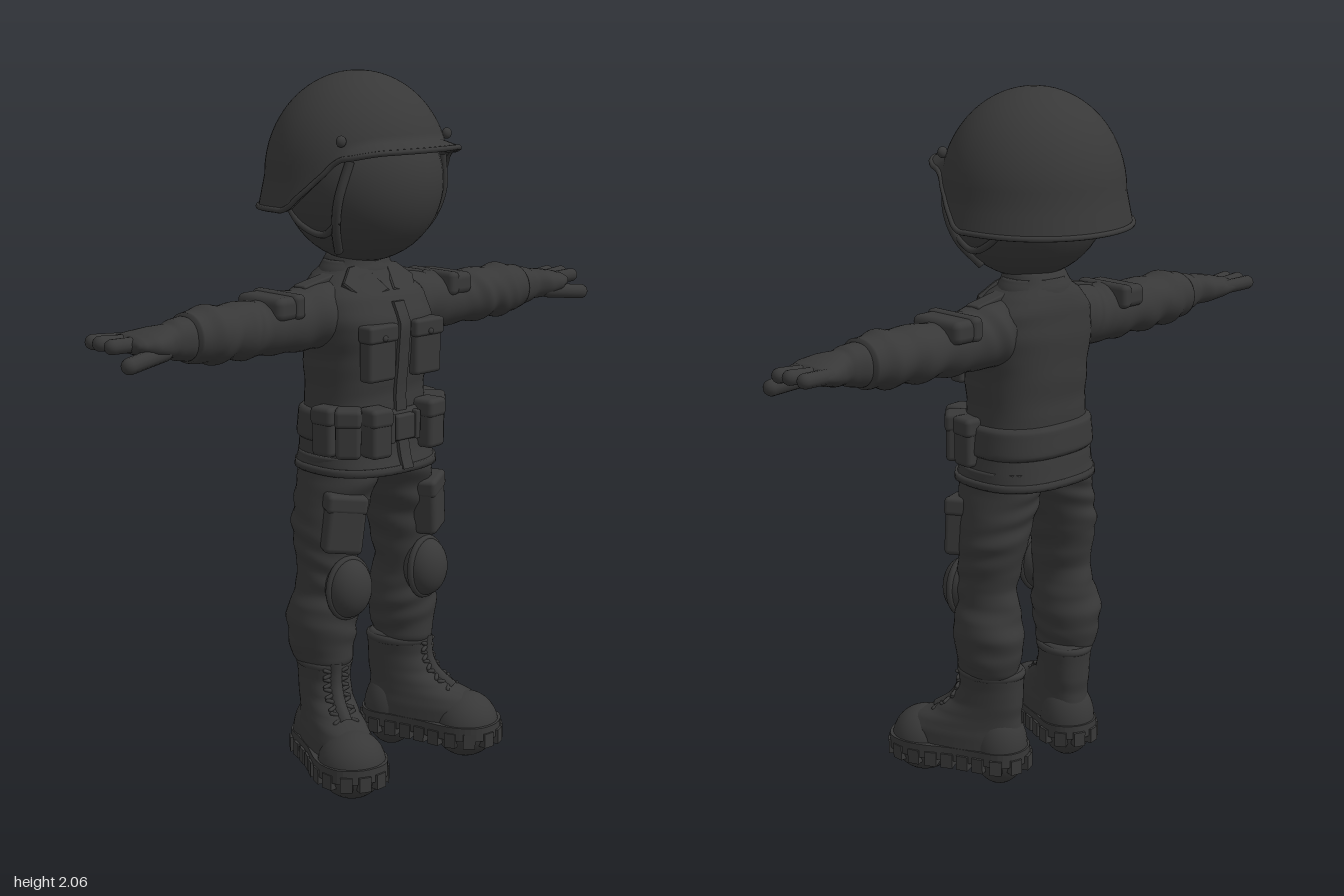
import * as THREE from 'three';
import { RoundedBoxGeometry } from 'three/addons/geometries/RoundedBoxGeometry.js';

const V = (x, y, z) => new THREE.Vector3(x, y, z);

// Smooth interpolation of rows [t, ...values] at t
function sample(rows, t) {
  let i = 0;
  while (i < rows.length - 2 && t > rows[i + 1][0]) i++;
  const a = rows[i], b = rows[i + 1];
  const k = THREE.MathUtils.clamp((t - a[0]) / (b[0] - a[0]), 0, 1);
  const s = k * k * (3 - 2 * k) * 0.5 + k * 0.5;
  return a.slice(1).map((v, j) => v + (b[j + 1] - v) * s);
}

// Closed surface from rings of points, ordered bottom to top
function skin(rings) {
  const n = rings[0].length, pos = [], idx = [];
  rings.forEach(r => r.forEach(p => pos.push(p.x, p.y, p.z)));
  for (let j = 0; j < rings.length - 1; j++) for (let i = 0; i < n; i++) {
    const a = j * n + i, b = j * n + (i + 1) % n;
    idx.push(a, a + n, b, b, a + n, b + n);
  }
  [0, rings.length - 1].forEach((j, top) => {
    const c = V(0, 0, 0);
    rings[j].forEach(p => c.addScaledVector(p, 1 / n));
    const k = pos.length / 3;
    pos.push(c.x, c.y, c.z);
    for (let i = 0; i < n; i++) {
      const a = j * n + i, b = j * n + (i + 1) % n;
      if (top) idx.push(a, k, b); else idx.push(a, b, k);
    }
  });
  const g = new THREE.BufferGeometry();
  g.setAttribute('position', new THREE.Float32BufferAttribute(pos, 3));
  g.setIndex(idx);
  g.computeVertexNormals();
  return g;
}

// Upright loft through rows [y, cx, cz, rx, rz]; power below 1 squares the rings, fold adds cloth creases
function loft(rows, { n = 36, steps = 40, power = 1, fold = 0 } = {}) {
  const y0 = rows[0][0], y1 = rows[rows.length - 1][0], rings = [];
  const sp = v => Math.sign(v) * Math.pow(Math.abs(v), power);
  for (let j = 0; j <= steps; j++) {
    const y = y0 + (y1 - y0) * j / steps, [cx, cz, rx, rz] = sample(rows, y);
    rings.push(Array.from({ length: n }, (_, i) => {
      const a = i / n * Math.PI * 2;
      const f = 1 + fold * Math.sin(y * 75 + 2.5 * Math.sin(a + y * 9)) * (0.6 + 0.4 * Math.cos(2 * a + y * 20));
      return V(cx + rx * f * sp(Math.cos(a)), y, cz + rz * f * sp(Math.sin(a)));
    }));
  }
  return skin(rings);
}

const box = (w, h, d, r = 0.012) => new RoundedBoxGeometry(w, h, d, 2, r);
const ball = (rx, ry, rz) => new THREE.SphereGeometry(1, 28, 18).scale(rx, ry, rz);
const tube = (pts, r, closed = false) =>
  new THREE.TubeGeometry(new THREE.CatmullRomCurve3(pts, closed), pts.length * 5, r, 8, closed);
function place(g, x, y, z, rx = 0, ry = 0, rz = 0) {
  return g.applyMatrix4(new THREE.Matrix4().makeRotationFromEuler(new THREE.Euler(rx, ry, rz, 'YXZ')).setPosition(x, y, z));
}
// Capsule from a to b
function rod(a, b, r) {
  const d = b.clone().sub(a), len = d.length();
  const q = new THREE.Quaternion().setFromUnitVectors(V(0, 1, 0), d.normalize());
  const m = a.clone().add(b).multiplyScalar(0.5);
  return new THREE.CapsuleGeometry(r, len, 5, 12).applyQuaternion(q).translate(m.x, m.y, m.z);
}
function mirrored(src) {
  const g = src.clone().scale(-1, 1, 1);
  const ix = g.index ? Array.from(g.index.array) : Array.from({ length: g.attributes.position.count }, (_, i) => i);
  for (let i = 0; i < ix.length; i += 3) [ix[i], ix[i + 1]] = [ix[i + 1], ix[i]];
  g.setIndex(ix);
  return g;
}

export function createModel() {
  const model = new THREE.Group();
  model.name = 'helmetedFigure';
  const charcoal = new THREE.MeshStandardMaterial({ color: 0x383838 });
  charcoal.name = 'charcoal';
  const add = (name, g) => {
    const m = new THREE.Mesh(g, charcoal);
    m.name = name;
    model.add(m);
  };
  const pair = (name, g) => { add(name + 'Left', g); add(name + 'Right', mirrored(g)); };

  // Head
  add('head', new THREE.SphereGeometry(0.23, 40, 28).translate(0, 1.69, -0.005));

  // Helmet: the rim height depends on the direction (c = 1 is front, -1 is back)
  const rimRows = [[-1, 1.61], [0.04, 1.62], [0.22, 1.66], [0.37, 1.70], [0.63, 1.765], [0.9, 1.785], [1, 1.787]];
  const dirs = Array.from({ length: 64 }, (_, i) => i / 64 * Math.PI * 2);
  const helmetPoint = (a, y, k = 1, out = 0) => {
    const h = (y - 1.71) / 0.29;
    const s = (h > 0 ? Math.sqrt(Math.max(0, 1 - h * h)) : 1 - 0.22 * h) * k;
    return V(Math.cos(a) * (0.272 * s + out), y, -0.03 + Math.sin(a) * (0.255 * s + out));
  };
  const rim = a => sample(rimRows, Math.sin(a))[0];
  const brim = a => 0.045 * THREE.MathUtils.smoothstep(Math.sin(a), 0.5, 0.9);
  const rings = [
    dirs.map(a => helmetPoint(a, rim(a) + 0.07, 0.86)),
    dirs.map(a => helmetPoint(a, rim(a), 0.93)),
    dirs.map(a => helmetPoint(a, rim(a), 1, brim(a))),
    dirs.map(a => helmetPoint(a, rim(a) + 0.012, 1, brim(a))),
  ];
  for (let j = 0; j <= 20; j++) {
    const u = Math.cos(j / 20 * Math.PI / 2);
    rings.push(dirs.map(a => helmetPoint(a, 1.9995 - (1.9995 - rim(a) - 0.028) * (1 - Math.pow(1 - u, 1)) ** 1)));
  }
  // Order the dome rows from rim to crown
  for (let j = 0; j <= 20; j++) {
    const w = 1 - j / 20;
    rings[4 + j] = dirs.map(a => helmetPoint(a, 1.9995 - (1.9995 - rim(a) - 0.028) * w * w));
  }
  add('helmet', skin(rings.map(r => r.slice().map((_, i) => r[i]))));
  add('helmetEdge', tube(dirs.map(a => helmetPoint(a, rim(a) + 0.006, 1, brim(a))), 0.008, true));
  pair('helmetBolt', ball(0.016, 0.016, 0.012).translate(0.205, 1.82, 0.125));

  // Chin straps hugging the head
  const onHead = (x, y, z) => V(x, y - 1.69, z).setLength(0.234).add(V(0, 1.69, 0));
  pair('frontStrap', tube([onHead(0.19, 1.77, 0.14), onHead(0.2, 1.66, 0.11), onHead(0.18, 1.58, 0.08), onHead(0.14, 1.5, 0.04)], 0.013));
  pair('rearStrap', tube([onHead(0.2, 1.64, -0.12), onHead(0.2, 1.58, -0.05), onHead(0.18, 1.56, 0.03), onHead(0.19, 1.6, 0.1)], 0.01));

  // Jacket
  const jacket = [[0.87, 0, 0.005, 0.205, 0.175], [0.93, 0, 0, 0.195, 0.16], [1.02, 0, 0, 0.183, 0.145],
    [1.1, 0, 0, 0.178, 0.143], [1.2, 0, 0.002, 0.182, 0.152], [1.3, 0, 0.004, 0.2, 0.158],
    [1.37, 0, -0.01, 0.19, 0.14], [1.42, 0, -0.03, 0.145, 0.11], [1.45, 0, -0.035, 0.1, 0.09], [1.49, 0, -0.03, 0.085, 0.075]];
  const frontZ = y => { const [, cz, , rz] = sample(jacket, y); return cz + rz; };
  add('jacket', loft(jacket, { power: 0.8, fold: 0.008 }));
  add('jacketHem', loft([[0.868, 0, 0.005, 0.208, 0.178], [0.89, 0, 0.005, 0.206, 0.176]], { steps: 2, power: 0.8 }));
  const placket = new THREE.BoxGeometry(0.04, 0.48, 0.02, 1, 16, 1).translate(0, 1.12, 0);
  const pp = placket.attributes.position;
  for (let i = 0; i < pp.count; i++) pp.setZ(i, pp.getZ(i) + frontZ(pp.getY(i)));
  placket.computeVertexNormals();
  add('placket', placket);

  // Collar
  const leaf = new THREE.Shape([[0.005, -0.03], [0.055, 0.06], [0.1, 0.05], [0.135, 0], [0.085, -0.065]].map(p => new THREE.Vector2(...p)));
  const leafGeo = new THREE.ExtrudeGeometry(leaf, { depth: 0.012, bevelEnabled: true, bevelSize: 0.004, bevelThickness: 0.004, bevelSegments: 1 });
  pair('collarLeaf', place(leafGeo, 0, 1.405, 0.082, -0.75, 0.25, 0));
  add('collarBand', loft([[1.41, 0, -0.035, 0.13, 0.105], [1.44, 0, -0.035, 0.118, 0.098], [1.468, 0, -0.035, 0.1, 0.085]], { steps: 8 }));

  // Chest pockets with flaps
  pair('chestPocket', box(0.105, 0.155, 0.05).translate(0.09, 1.22, 0.15));
  pair('chestPocketFlap', box(0.115, 0.05, 0.055, 0.01).translate(0.09, 1.28, 0.154));
  pair('pocketButton', ball(0.009, 0.009, 0.006).translate(0.09, 1.268, 0.182));

  // Belt, buckle and pouches
  add('belt', loft([[0.955, 0, 0, 0.19, 0.155], [0.965, 0, 0, 0.202, 0.165], [1.04, 0, 0, 0.196, 0.16], [1.05, 0, 0, 0.184, 0.15]], { steps: 12, power: 0.8 }));
  add('buckle', box(0.075, 0.075, 0.03, 0.008).translate(0, 1.0, 0.162));
  pair('buckleKeeper', box(0.018, 0.085, 0.03, 0.005).translate(0.05, 1.0, 0.16));
  [[0.105, 0.16, 0.12], [0.168, 0.112, 0.8], [0.185, 0.045, 1.45]].forEach(([x, z, r], i) => {
    pair('pouch' + (i + 1), place(box(0.072, 0.14, 0.07, 0.014), x, 0.995, z, 0, r));
    pair('pouchFlap' + (i + 1), place(box(0.078, 0.055, 0.077, 0.014), x, 1.042, z, 0, r));
  });

  // Sleeves, lofted upright and laid along x
  const alongX = (rows, o) => loft(rows.map(([x, y, z, ry, rz]) => [x, -y, z, ry, rz]), o).rotateZ(-Math.PI / 2);
  pair('sleeve', alongX([[0.1, 1.33, -0.02, 0.09, 0.09], [0.18, 1.322, -0.02, 0.096, 0.1], [0.25, 1.315, -0.02, 0.088, 0.09],
    [0.33, 1.31, -0.02, 0.084, 0.085], [0.4, 1.31, -0.02, 0.076, 0.08], [0.46, 1.31, -0.018, 0.083, 0.092], [0.51, 1.313, -0.015, 0.075, 0.083],
    [0.57, 1.313, -0.015, 0.083, 0.092], [0.61, 1.315, -0.015, 0.073, 0.077], [0.645, 1.315, -0.015, 0.07, 0.074], [0.652, 1.315, -0.015, 0.05, 0.05]],
  { steps: 70, fold: 0.035 }));
  pair('sleevePocket', box(0.1, 0.065, 0.185, 0.02).translate(0.335, 1.365, -0.025));
  pair('sleevePocketFlap', box(0.04, 0.07, 0.195, 0.015).translate(0.305, 1.368, -0.025));
  pair('shoulderStrap', place(box(0.13, 0.018, 0.05, 0.006), 0.17, 1.415, -0.02, 0, 0, -0.2));

  // Gloved hands
  pair('glove', alongX([[0.63, 1.315, -0.015, 0.05, 0.05], [0.65, 1.313, -0.015, 0.061, 0.063], [0.69, 1.315, -0.012, 0.056, 0.056],
    [0.71, 1.315, -0.01, 0.046, 0.053], [0.75, 1.315, -0.01, 0.044, 0.075], [0.79, 1.317, -0.014, 0.036, 0.085], [0.83, 1.32, -0.025, 0.025, 0.078], [0.845, 1.32, -0.025, 0.012, 0.06]],
  { steps: 30, power: 0.9 }));
  [[0.893, 1.325, -0.092, -0.078], [0.903, 1.328, -0.045, -0.045], [0.9, 1.325, 0.002, -0.01]].forEach(([x, y, z, z0], i) =>
    pair('finger' + (i + 1), rod(V(0.8, 1.32, z0), V(x, y, z), 0.021)));
  pair('thumb', rod(V(0.755, 1.295, 0.035), V(0.885, 1.28, 0.056), 0.023));

  // Trousers
  pair('trouserLeg', loft([[0.28, 0.165, -0.005, 0.065, 0.085], [0.31, 0.165, -0.005, 0.08, 0.1], [0.36, 0.165, -0.01, 0.09, 0.108],
    [0.42, 0.165, -0.007, 0.099, 0.113], [0.47, 0.162, -0.005, 0.092, 0.105], [0.51, 0.158, 0, 0.08, 0.1], [0.56, 0.155, 0.005, 0.078, 0.097],
    [0.62, 0.152, 0, 0.083, 0.102], [0.7, 0.145, -0.008, 0.092, 0.113], [0.78, 0.125, -0.005, 0.098, 0.123], [0.85, 0.105, 0, 0.1, 0.138], [0.92, 0.1, 0, 0.098, 0.14]],
  { steps: 80, fold: 0.035 }));
  pair('thighPocket', place(box(0.115, 0.17, 0.075, 0.016), 0.172, 0.73, 0.095, 0, 0.5, 0.12));
  pair('thighPocketFlap', place(box(0.122, 0.055, 0.083, 0.014), 0.166, 0.79, 0.096, 0, 0.5, 0.12));
  pair('kneePad', place(ball(0.072, 0.088, 0.062), 0.157, 0.535, 0.1, 0, 0.1));
  pair('kneePadEdge', place(new THREE.TorusGeometry(1, 0.14, 8, 32).scale(0.07, 0.085, 0.08), 0.157, 0.535, 0.1, 0, 0.1));

  // Boots, built pointing forward and then turned out
  const boot = (name, g) => pair(name, place(g, 0.155, 0, -0.01, 0, 0.37));
  boot('boot', loft([[0.05, 0, 0.105, 0.088, 0.21], [0.1, 0, 0.1, 0.086, 0.2], [0.13, 0, 0.082, 0.08, 0.175], [0.16, 0, 0.045, 0.075, 0.135],
    [0.2, 0, 0.012, 0.072, 0.108], [0.25, 0, 0, 0.072, 0.097], [0.3, 0, 0, 0.078, 0.1], [0.315, 0, 0, 0.065, 0.085]], { steps: 30, power: 0.9 }));
  boot('toeCap', ball(0.1, 0.1, 0.1).translate(0, 0.045, 0.222));
  boot('heelCounter', ball(0.084, 0.12, 0.084).translate(0, 0.06, -0.025));
  boot('bootCuff', new THREE.TorusGeometry(1, 0.12, 8, 32).rotateX(Math.PI / 2).scale(0.074, 0.1, 0.094).translate(0, 0.295, 0));
  const half = [[0.05, -0.1], [0.082, -0.06], [0.086, 0.02], [0.09, 0.1], [0.104, 0.19], [0.1, 0.25], [0.07, 0.305]];
  const outline = [...half, [0, 0.328], ...half.slice().reverse().map(([x, z]) => [-x, z]), [0, -0.115]];
  const edge = new THREE.CatmullRomCurve3(outline.map(([x, z]) => V(x, 0, z)), true);
  const soleShape = new THREE.Shape(edge.getPoints(60).slice(0, -1).map(p => new THREE.Vector2(p.x, -p.z)));
  boot('sole', new THREE.ExtrudeGeometry(soleShape, { depth: 0.042, bevelEnabled: false }).rotateX(-Math.PI / 2).translate(0, 0.022, 0));
  // Tread lugs around the edge and down the middle
  for (let i = 0; i < 20; i++) {
    const p = edge.getPointAt(i / 20), t = edge.getTangentAt(i / 20);
    boot('lug' + i, place(new THREE.BoxGeometry(0.05, 0.044, 0.036), p.x * 0.8, 0.022, 0.1 + (p.z - 0.1) * 0.92, 0, Math.atan2(t.x, t.z)));
  }
  for (let i = 0; i < 6; i++) boot('midLug' + i, new THREE.BoxGeometry(0.06, 0.03, 0.03).translate(0, 0.015, -0.05 + i * 0.06));
  // Laces and tongue
  const laceZ = y => sample([[0.14, 0.2], [0.16, 0.178], [0.2, 0.122], [0.25, 0.1], [0.3, 0.102]], y)[0];
  boot('tongue', tube([0.15, 0.19, 0.23, 0.27, 0.31].map(y => V(0, y, laceZ(y) - 0.012)), 0.022));
  for (let i = 0; i < 5; i++) for (const s of [-1, 1]) {
    const y = 0.155 + i * 0.028;
    boot('lace' + i + (s > 0 ? 'a' : 'b'), rod(V(-0.034 * s, y, laceZ(y) - 0.005), V(0.034 * s, y + 0.022, laceZ(y + 0.022) - 0.005), 0.006));
  }
  return model;
}
